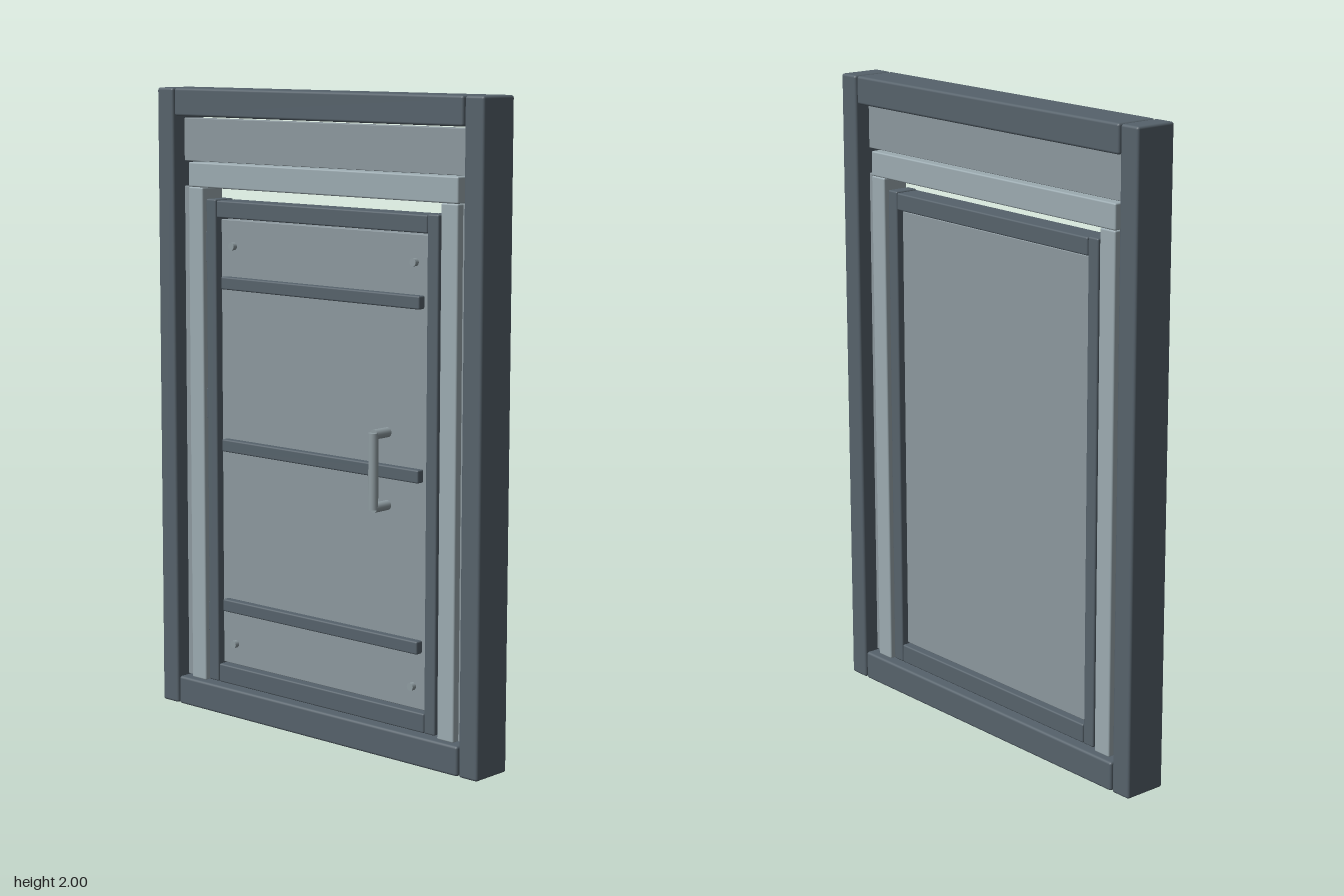
import * as THREE from 'three';
import { RoundedBoxGeometry } from 'three/addons/geometries/RoundedBoxGeometry.js';

const mat = (color) => new THREE.MeshStandardMaterial({ color });
const MID = -0.04; // depth centre of the frame and door

export function createModel() {
  const root = new THREE.Group();
  const dark = mat(0x56626b), panel = mat(0x8c989e), trim = mat(0x9cabb1), metal = mat(0x8f9ca1);

  const add = (parent, name, geometry, material, x, y, z) => {
    const mesh = new THREE.Mesh(geometry, material);
    mesh.name = name;
    mesh.position.set(x, y, z);
    parent.add(mesh);
    return mesh;
  };
  // Softly bevelled box given by its x, y and z extents
  const bar = (parent, name, material, [x0, x1], [y0, y1], [z0, z1], bevel = 0.005) =>
    add(parent, name, new RoundedBoxGeometry(x1 - x0, y1 - y0, z1 - z0, 2, bevel), material,
      (x0 + x1) / 2, (y0 + y1) / 2, (z0 + z1) / 2);
  const around = (half) => [MID - half, MID + half];
  const group = (name) => {
    const g = new THREE.Group();
    g.name = name;
    root.add(g);
    return g;
  };

  // Outer frame
  const frame = group('outerFrame');
  bar(frame, 'topBeam', dark, [-0.588, 0.588], [1.912, 2], around(0.07), 0.008);
  bar(frame, 'bottomSill', dark, [-0.588, 0.588], [0, 0.092], around(0.07), 0.008);

  // Recessed wall panels and raised trim around the opening
  const surround = group('surround');
  bar(surround, 'headerPanel', panel, [-0.594, 0.594], [1.77, 1.905], around(0.02), 0.002);
  bar(surround, 'topTrim', trim, [-0.552, 0.552], [1.69, 1.768], around(0.045));

  for (const [side, s] of [['left', 1], ['right', -1]]) {
    const span = (a, b) => (s > 0 ? [a, b] : [-b, -a]);
    bar(frame, side + 'Post', dark, span(0.594, 0.664), [0, 2], around(0.07), 0.008);
    bar(surround, side + 'SidePanel', panel, span(0.52, 0.594), [0.09, 1.69], around(0.02), 0.002);
    bar(surround, side + 'Trim', trim, span(0.489, 0.552), [0.09, 1.69], around(0.045));
  }

  // Door leaf
  const door = group('door');
  bar(door, 'doorPanel', panel, [-0.43, 0.43], [0.16, 1.592], around(0.02), 0.002);
  bar(door, 'doorTopRail', dark, [-0.433, 0.433], [1.598, 1.652], around(0.04));
  bar(door, 'doorBottomRail', dark, [-0.433, 0.433], [0.096, 0.156], around(0.04));
  bar(door, 'leftStile', dark, [0.434, 0.476], [0.096, 1.655], around(0.04));
  bar(door, 'rightStile', dark, [-0.478, -0.436], [0.096, 1.655], around(0.04));

  // Cross bars on the front only
  for (const y of [0.355, 0.876, 1.394])
    bar(door, 'crossBar', dark, [-0.409, 0.409], [y - 0.02, y + 0.02], [-0.022, 0.006]);

  // Corner bolts
  const boltGeometry = new THREE.CylinderGeometry(0.012, 0.012, 0.018, 16).rotateX(Math.PI / 2);
  for (const x of [-0.374, 0.374])
    for (const y of [0.228, 1.51]) add(door, 'bolt', boltGeometry, metal, x, y, -0.014);

  // Hinges in the gap beside the right stile
  for (const y of [0.303, 1.002, 1.503])
    bar(door, 'hinge', dark, [-0.492, -0.474], [y - 0.048, y + 0.048], [-0.05, -0.01], 0.003);

  // Pull handle: round grip on two standoffs
  const handle = group('handle');
  add(handle, 'grip', new THREE.CylinderGeometry(0.015, 0.015, 0.23, 20), metal, 0.317, 0.895, 0.1);
  const standoff = new THREE.CylinderGeometry(0.015, 0.015, 0.063, 20).rotateX(Math.PI / 2);
  for (const y of [0.785, 1.005]) add(handle, 'standoff', standoff, metal, 0.317, y, 0.068);

  return root;
}
